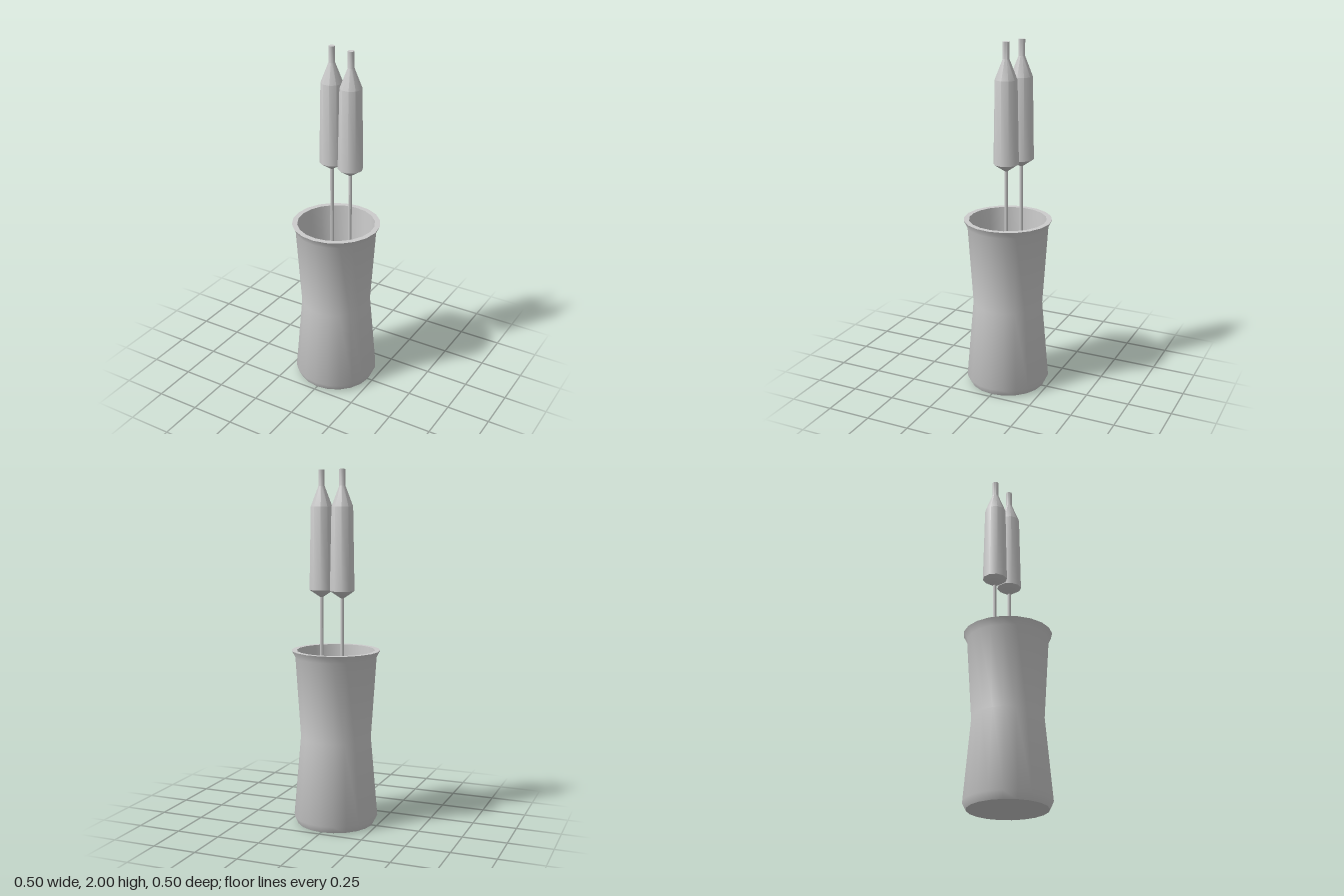
import * as THREE from 'three';
import { toCreasedNormals } from 'three/addons/utils/BufferGeometryUtils.js';

const grey = new THREE.MeshStandardMaterial({ color: 0xcccccc });
grey.name = 'grey';

// Turned part: profile of [radius, y] points, listed from the bottom up on the outside
function turned(name, profile, sides) {
  const points = profile.map(([r, y]) => new THREE.Vector2(r, y));
  const geometry = toCreasedNormals(new THREE.LatheGeometry(points, sides), 0.7);
  const mesh = new THREE.Mesh(geometry, grey);
  mesh.name = name;
  return mesh;
}

function createReed(x, z) {
  const reed = new THREE.Group();
  reed.name = 'reed';
  reed.position.set(x, 0, z);
  reed.rotation.y = Math.PI / 10; // a flat side faces the front

  // thin stem standing on the vase floor
  reed.add(turned('stem', [[0.01, 0.04], [0.01, 1.31]], 10));

  // seed head with pointed underside, sloping shoulder and blunt tip
  reed.add(turned('seedHead', [
    [0, 1.3], [0.01, 1.3], [0.07, 1.34], [0.061, 1.8],
    [0.018, 1.91], [0.018, 2], [0, 2],
  ], 10));
  return reed;
}

export function createModel() {
  const model = new THREE.Group();
  model.name = 'vaseWithReeds';

  // waisted vase: base, outer wall, flared rim, inner wall and floor
  model.add(turned('vase', [
    [0, 0], [0.22, 0], [0.24, 0.04], [0.2, 0.5], [0.23, 0.96], [0.25, 1],
    [0.22, 1], [0.199, 0.5], [0.199, 0.04], [0, 0.04],
  ], 20));

  for (const [x, z] of [[-0.06, -0.055], [0.075, -0.025]]) model.add(createReed(x, z));
  return model;
}
